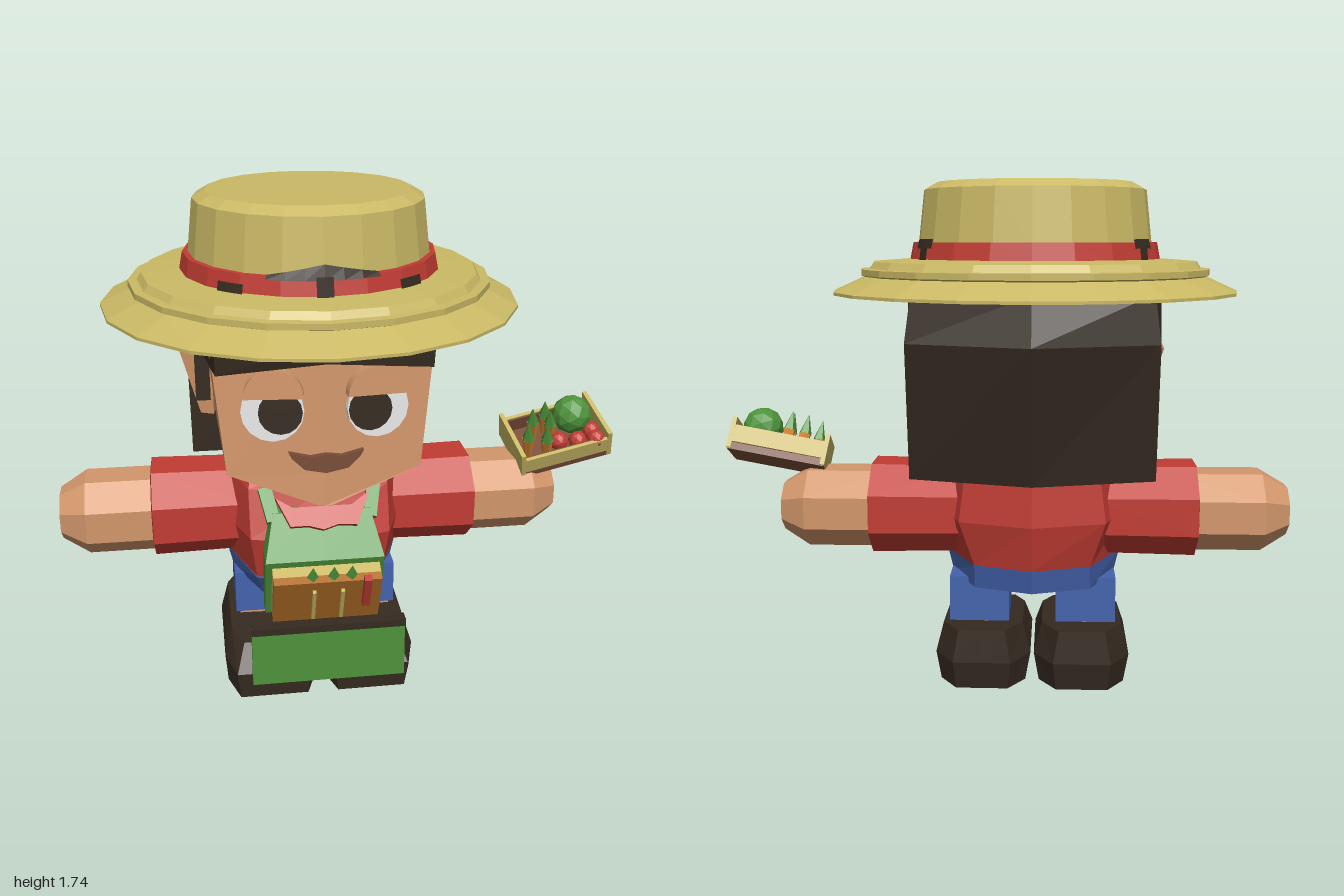
import * as THREE from 'three';

const mat = (name, color) => {
  const m = new THREE.MeshStandardMaterial({ color });
  m.name = name;
  return m;
};
const M = {
  skin: mat('skin', 0xd2966b), red: mat('red', 0xc03c33), blue: mat('blue', 0x4462ac),
  straw: mat('straw', 0xcab965), dark: mat('darkBrown', 0x352a20), green: mat('green', 0x4e933b),
  orange: mat('orange', 0xdd8a33), white: mat('white', 0xeeeeee), brown: mat('brown', 0x7a4d38),
  pocket: mat('pocketBrown', 0xb06d26),
};

// Adds a faceted mesh to a parent
function add(parent, name, geo, material, p = [0, 0, 0], r = [0, 0, 0]) {
  const g = geo.index ? geo.toNonIndexed() : geo;
  g.computeVertexNormals();
  const mesh = new THREE.Mesh(g, material);
  mesh.name = name;
  mesh.position.set(...p);
  mesh.rotation.set(...r);
  parent.add(mesh);
  return mesh;
}

function group(parent, name, p = [0, 0, 0], r = [0, 0, 0]) {
  const g = new THREE.Group();
  g.name = name;
  g.position.set(...p);
  g.rotation.set(...r);
  parent.add(g);
  return g;
}

const box = (x, y, z) => new THREE.BoxGeometry(x, y, z);
const lathe = (pts, n) => new THREE.LatheGeometry(pts.map(p => new THREE.Vector2(...p)), n);
const plate = (shape, depth) => new THREE.ExtrudeGeometry(shape, { depth, bevelEnabled: false, curveSegments: 8 });
const polygon = pts => new THREE.Shape(pts.map(p => new THREE.Vector2(...p)));

// Symmetric ring: half outline of [x, z, optional y] from front middle to back middle
function ring(y, half) {
  const pts = half.map(([x, z, py = y]) => [x, py, z]);
  return pts.concat(pts.filter(p => p[0] > 0).reverse().map(([x, py, z]) => [-x, py, z]));
}
const oneSide = (y, pts) => pts.map(([x, z]) => [x, y, z]);

// Closed skin over rings stacked from bottom to top
function loft(rings) {
  const v = [], n = rings[0].length;
  const mid = r => [0, 1, 2].map(k => r.reduce((s, p) => s + p[k], 0) / n);
  const first = rings[0], last = rings[rings.length - 1];
  const c0 = mid(first), c1 = mid(last);
  for (let i = 0; i < n; i++) {
    const j = (i + 1) % n;
    for (let k = 0; k + 1 < rings.length; k++) {
      const a = rings[k], b = rings[k + 1];
      v.push(...a[i], ...a[j], ...b[j], ...a[i], ...b[j], ...b[i]);
    }
    v.push(...c0, ...first[j], ...first[i], ...c1, ...last[i], ...last[j]);
  }
  const g = new THREE.BufferGeometry();
  g.setAttribute('position', new THREE.Float32BufferAttribute(v, 3));
  return g;
}

function buildHat(body) {
  const hat = group(body, 'hat');
  add(hat, 'brim', lathe([[0.3, 1.42], [0.7, 1.365], [0.7, 1.375], [0.59, 1.425], [0.605, 1.43],
    [0.605, 1.45], [0.575, 1.452], [0.56, 1.475], [0.42, 1.485]], 20), M.straw);
  add(hat, 'band', lathe([[0.435, 1.475], [0.422, 1.54], [0.39, 1.54]], 20), M.red);
  add(hat, 'crown', lathe([[0.405, 1.52], [0.383, 1.715], [0.34, 1.74], [0, 1.74]], 20), M.straw);
  // Hair showing through the band
  const patch = (angle, width, y, h, r = 0.443) =>
    add(hat, 'hairTuft', new THREE.CylinderGeometry(r - 0.008, r, h, 3, 1, true, angle - width / 2, width), M.dark, [0, y, 0]);
  patch(0, 0.12, 1.505, 0.08);
  for (const s of [1, -1]) {
    patch(s * 0.7, 0.22, 1.495, 0.035);
    patch(s * 2.18, 0.22, 1.535, 0.03, 0.437);
    patch(s * 2.18, 0.1, 1.5, 0.06);
  }
  const peak = new THREE.CylinderGeometry(0.42, 0.432, 0.045, 6, 1, true, -0.42, 0.84);
  const pos = peak.attributes.position;
  for (let i = 0; i < pos.count; i++)
    if (pos.getY(i) > 0) pos.setY(i, 0.025 - 0.2 * Math.abs(pos.getX(i)));
  add(hat, 'hairPeak', peak, M.dark, [0, 1.555, 0]);
}

function buildHead(body) {
  const head = group(body, 'head');
  add(head, 'face', loft([
    ring(0.79, [[0, 0.43], [0.02, 0.43], [0.02, -0.14], [0, -0.14]]),
    ring(0.9, [[0, 0.425], [0.315, 0.395], [0.33, -0.14], [0, -0.14]]),
    ring(1.32, [[0, 0.41], [0.355, 0.375], [0.37, -0.14], [0, -0.14]])]), M.skin);
  add(head, 'fringe', loft([
    ring(1.27, [[0, 0.46, 1.28], [0.34, 0.44, 1.25], [0.39, 0.15], [0.4, -0.14], [0, -0.14]]),
    ring(1.36, [[0, 0.48], [0.34, 0.45], [0.43, 0.1], [0.43, -0.14], [0, -0.14]]),
    ring(1.45, [[0, 0.44], [0.3, 0.36], [0.42, 0.1], [0.42, -0.14], [0, -0.14]])]), M.dark);
  add(head, 'backHair', loft([
    ring(0.76, [[0, -0.15], [0.42, -0.15], [0.41, -0.3], [0, -0.41]]),
    ring(1.22, [[0, -0.14], [0.425, -0.14], [0.41, -0.38], [0, -0.52]]),
    ring(1.38, [[0, -0.12], [0.43, -0.12], [0.39, -0.36], [0, -0.455]]),
    ring(1.45, [[0, -0.1], [0.4, -0.1], [0.34, -0.27], [0, -0.41]])]), M.dark);
  add(head, 'mouth', plate(polygon([[-0.12, 0.985], [-0.11, 0.965], [-0.07, 0.925], [0, 0.91], [0.07, 0.925],
    [0.11, 0.965], [0.12, 0.985], [0.05, 0.967], [0, 0.974], [-0.05, 0.967]]), 0.02), M.brown, [0, 0, 0.423]);

  const disc = (r, h) => new THREE.CylinderGeometry(r, r, h, 16).rotateX(Math.PI / 2);
  for (const s of [1, -1]) {
    const side = group(head, s > 0 ? 'leftSide' : 'rightSide');
    side.scale.x = s;
    add(side, 'ear', loft([
      oneSide(0.95, [[0.34, -0.03], [0.385, -0.05], [0.37, -0.1], [0.33, -0.1]]),
      oneSide(1.18, [[0.34, -0.01], [0.45, -0.06], [0.42, -0.12], [0.33, -0.11]]),
      oneSide(1.25, [[0.34, -0.03], [0.41, -0.07], [0.39, -0.12], [0.33, -0.11]])]), M.skin);
    add(side, 'sideburn', box(0.05, 0.27, 0.06), M.dark, [0.375, 1.165, 0.015]);
    const eye = group(side, 'eye', [0.165, 1.12, 0.403], [-0.04, 0.1, 0]);
    add(eye, 'eyeWhite', disc(0.1, 0.03), M.white, [0, 0, 0.005]);
    add(eye, 'iris', disc(0.07, 0.008), M.dark, [-0.025, -0.005, 0.023]);
    const lid = new THREE.Shape();
    lid.absarc(0, 0, 0.095, 0, Math.PI);
    add(eye, 'eyelid', plate(lid, 0.05), M.skin, [-0.005, 0.045, -0.01]);
  }
}

function buildBody(body) {
  add(body, 'shirt', loft([
    ring(0.44, [[0, 0.3], [0.22, 0.24], [0.31, 0], [0.2, -0.22], [0, -0.29]]),
    ring(0.6, [[0, 0.34], [0.24, 0.27], [0.34, 0], [0.25, -0.25], [0, -0.325]]),
    ring(0.76, [[0, 0.26], [0.24, 0.21], [0.31, 0], [0.23, -0.24], [0, -0.31]]),
    ring(0.83, [[0, 0.17], [0.22, 0.14], [0.25, 0], [0.18, -0.12], [0, -0.17]])]), M.red);
  add(body, 'trousers', loft([
    ring(0.355, [[0, 0.25], [0.2, 0.2], [0.29, 0], [0.2, -0.2], [0, -0.27]]),
    ring(0.44, [[0, 0.31], [0.22, 0.25], [0.31, 0], [0.2, -0.22], [0, -0.29]])]), M.blue);

  for (const s of [1, -1]) {
    const side = group(body, s > 0 ? 'leftLimbs' : 'rightLimbs');
    side.scale.x = s;
    // Arms are eight-sided and lie along x
    const limb = pts => lathe(pts, 8).rotateY(Math.PI / 8).rotateZ(-Math.PI / 2).scale(1, 1, 1.12);
    add(side, 'sleeve', limb([[0, 0.2], [0.165, 0.2], [0.172, 0.57], [0.14, 0.575]]), M.red, [0, 0.61, -0.025]);
    add(side, 'hand', limb([[0, 0.5], [0.147, 0.5], [0.147, 0.8], [0.09, 0.893], [0, 0.895]]), M.skin, [0, 0.605, -0.025]);
    add(side, 'leg', box(0.21, 0.16, 0.235), M.blue, [0.187, 0.295, -0.028]);
    add(side, 'ankle', box(0.18, 0.06, 0.19), M.skin, [0.187, 0.205, -0.028]);
    add(side, 'shoe', loft([
      ring(0, [[0, 0.32], [0.12, 0.32], [0.16, 0.2], [0.15, -0.15], [0.09, -0.24], [0, -0.24]]),
      ring(0.1, [[0, 0.33], [0.13, 0.33], [0.168, 0.2], [0.168, -0.15], [0.1, -0.26], [0, -0.26]]),
      ring(0.2, [[0, 0.25, 0.18], [0.1, 0.25, 0.18], [0.14, 0.15, 0.19], [0.14, -0.14, 0.21],
        [0.08, -0.25, 0.215], [0, -0.25, 0.215]])]), M.dark, [0.174, 0, 0]);
    add(side, 'apronStrap', box(0.045, 0.12, 0.03), M.green, [0.175, 0.725, 0.27], [-0.7, 0, -0.2]);
  }
}

function buildApron(body) {
  const apron = group(body, 'apron');
  add(apron, 'bib', loft([
    ring(0.34, [[0, 0.32], [0.2, 0.32], [0.2, 0.26], [0, 0.26]]),
    ring(0.575, [[0, 0.405], [0.2, 0.405], [0.2, 0.3], [0, 0.3]]),
    ring(0.71, [[0, 0.305], [0.165, 0.305], [0.165, 0.2], [0, 0.2]])]), M.green);
  add(apron, 'skirt', box(0.515, 0.21, 0.03), M.green, [0, 0.27, 0.475]);
  add(apron, 'belt', box(0.515, 0.025, 0.045), M.dark, [0, 0.375, 0.483]);
  add(apron, 'neckerchief', plate(polygon([[-0.155, 0.06], [-0.1, 0.025], [0.1, 0.025], [0.165, 0.07],
    [0.115, -0.045], [0.05, -0.04], [0, -0.055], [-0.05, -0.04], [-0.11, -0.04]]), 0.025), M.red, [0, 0.7, 0.315], [-0.67, 0, 0]);

  // Pocket with tools, leaning forward at the top
  const pocket = group(apron, 'pocket', [0, 0.45, 0.405], [0.43, 0, 0]);
  add(pocket, 'pocketBack', box(0.36, 0.22, 0.04), M.straw, [0, 0, -0.015]);
  add(pocket, 'pocketFront', box(0.36, 0.22, 0.03), M.pocket, [0, 0, 0.02]);
  for (const x of [-0.045, 0.05])
    add(pocket, 'tool', box(0.012, 0.15, 0.02), M.straw, [x, -0.005, 0.038]);
  add(pocket, 'redHandle', box(0.025, 0.14, 0.025), M.red, [0.13, 0.06, 0.042]);
  for (const x of [-0.05, 0.02, 0.08])
    add(pocket, 'sprout', new THREE.ConeGeometry(0.02, 0.05, 4), M.green, [x, 0.135, 0.01]);
}

function buildBasket(root) {
  const basket = group(root, 'basket', [0.803, 0.81, -0.015], [0.38, 0.13, 0.16]);
  add(basket, 'floor', box(0.34, 0.025, 0.225), M.brown, [0, -0.045, 0]);
  for (const s of [1, -1]) {
    add(basket, 'longBoard', box(0.34, 0.06, 0.014), M.straw, [0, 0.0, s * 0.11]);
    add(basket, 'boardLining', box(0.31, 0.055, 0.008), M.brown, [0, 0, s * 0.1]);
    add(basket, 'endBoard', box(0.016, 0.11, 0.235), M.straw, [s * 0.165, 0.002, 0]);
  }
  add(basket, 'cabbage', new THREE.IcosahedronGeometry(0.072, 1), M.green, [0.075, 0.055, -0.025]);
  for (const [x, z] of [[-0.005, 0.05], [0.06, 0.07], [0.125, 0.04], [0.125, 0.085]])
    add(basket, 'tomato', new THREE.IcosahedronGeometry(0.034, 1), M.red, [x, 0.015, z]);
  for (const [x, z] of [[-0.12, 0.04], [-0.075, -0.03], [-0.06, 0.07], [-0.02, -0.05], [-0.02, 0.0]]) {
    add(basket, 'carrot', new THREE.CylinderGeometry(0.022, 0.012, 0.1, 6), M.orange, [x, 0.01, z]);
    add(basket, 'carrotLeaves', new THREE.ConeGeometry(0.024, 0.075, 5), M.green, [x, 0.095, z]);
  }
}

export function createModel() {
  const root = new THREE.Group();
  root.name = 'gardener';
  const body = group(root, 'figure', [-0.105, 0, 0]);
  buildHat(body);
  buildHead(body);
  buildBody(body);
  buildApron(body);
  buildBasket(root);
  return root;
}
